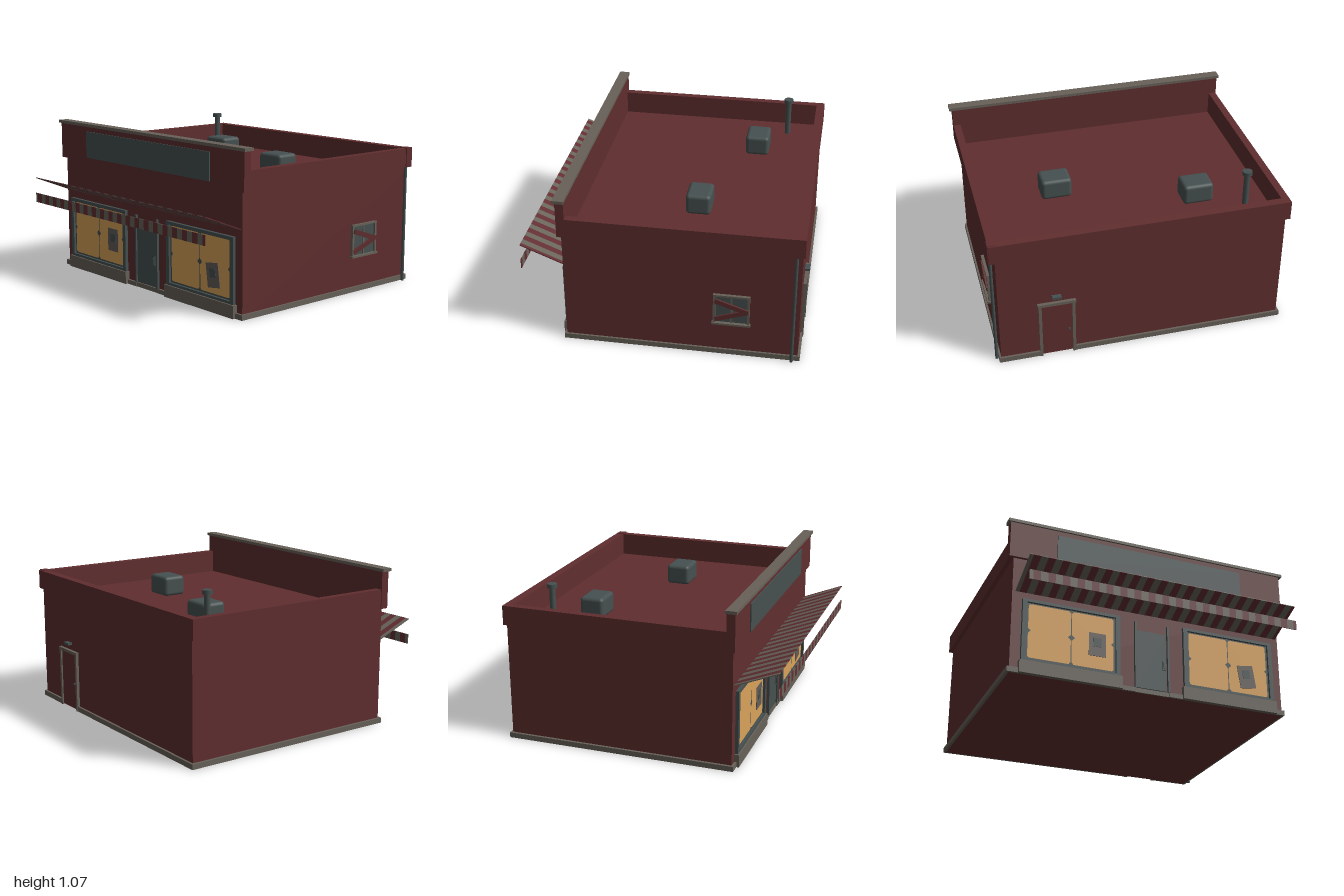
import * as THREE from 'three';
import { RoundedBoxGeometry } from 'three/addons/geometries/RoundedBoxGeometry.js';

const mat = (name, color) => {
  const m = new THREE.MeshStandardMaterial({ color });
  m.name = name;
  return m;
};

export function createModel() {
  const model = new THREE.Group();
  model.name = 'cornerShop';
  const brick = mat('brickRed', 0x602e2f);
  const stone = mat('stoneGrey', 0x676158);
  const slate = mat('slateGrey', 0x465050);
  const glow = mat('litGlass', 0xd9a35a);
  const paper = mat('posterGrey', 0x635d57);
  const canvasRed = mat('awningRed', 0x632e33);
  const canvasGrey = mat('awningGrey', 0x6a655b);
  canvasRed.side = canvasGrey.side = THREE.DoubleSide;

  const add = (name, geo, m, x = 0, y = 0, z = 0, parent = model) => {
    const mesh = new THREE.Mesh(geo, m);
    mesh.name = name;
    mesh.position.set(x, y, z);
    parent.add(mesh);
    return mesh;
  };
  // Box given by its limits on each axis
  const box = (name, m, x0, x1, y0, y1, z0, z1, parent = model) =>
    add(name, new THREE.BoxGeometry(x1 - x0, y1 - y0, z1 - z0), m,
      (x0 + x1) / 2, (y0 + y1) / 2, (z0 + z1) / 2, parent);
  const cyl = (name, m, r, y0, y1, x, z, sides = 12) =>
    add(name, new THREE.CylinderGeometry(r, r, y1 - y0, sides), m, x, (y0 + y1) / 2, z);

  // Walls, with the sunken roof deck as their top
  box('walls', brick, -0.952, 0.945, 0, 0.77, -0.89, 0.635);
  box('frontUpperWall', brick, -0.952, 0.945, 0.77, 0.8, 0.6, 0.635);
  box('backUpperWall', brick, -0.952, 0.945, 0.77, 0.8, -0.89, -0.845);
  box('leftUpperWall', brick, 0.93, 0.945, 0.77, 0.8, -0.845, 0.6);
  box('rightUpperWall', brick, -0.952, -0.93, 0.77, 0.8, -0.845, 0.6);

  // Parapet, taller at the front and capped with stone
  box('frontParapet', brick, -0.985, 0.98, 0.8, 1.05, 0.6, 0.655);
  box('parapetCap', stone, -1, 1, 1.05, 1.07, 0.595, 0.667);
  box('backParapet', brick, -0.98, 0.98, 0.8, 0.93, -0.903, -0.845);
  box('leftParapet', brick, 0.93, 0.98, 0.8, 0.93, -0.845, 0.6);
  box('rightParapet', brick, -0.98, -0.93, 0.8, 0.93, -0.845, 0.6);
  box('signBoard', slate, -0.665, 0.665, 0.83, 1.015, 0.655, 0.663);

  // Stone plinth, broken at both doors
  box('plinthLeft', stone, 0.945, 0.958, 0, 0.035, -0.905, 0.65);
  box('plinthRight', stone, -0.97, -0.952, 0, 0.035, -0.905, 0.65);
  box('plinthBack', stone, -0.952, 0.45, 0, 0.035, -0.905, -0.89);
  box('plinthBackEnd', stone, 0.69, 0.945, 0, 0.035, -0.905, -0.89);
  for (const s of [-1, 1]) {
    const [a, b] = s < 0 ? [-0.952, -0.895] : [0.895, 0.945];
    box('plinthCorner', stone, a, b, 0, 0.035, 0.635, 0.65);
    const [c, d] = s < 0 ? [-0.21, -0.115] : [0.115, 0.21];
    box('plinthPier', stone, c, d, 0, 0.03, 0.635, 0.65);
  }

  // Shop windows
  const roundedRect = (w, h, r, Type) => {
    const p = new Type(), x = w / 2, y = h / 2;
    p.moveTo(-x + r, -y);
    p.lineTo(x - r, -y).quadraticCurveTo(x, -y, x, -y + r);
    p.lineTo(x, y - r).quadraticCurveTo(x, y, x - r, y);
    p.lineTo(-x + r, y).quadraticCurveTo(-x, y, -x, y - r);
    p.lineTo(-x, -y + r).quadraticCurveTo(-x, -y, -x + r, -y);
    return p;
  };
  const shopWindow = (x, posterX, posterY, tilt) => {
    const g = new THREE.Group();
    g.name = 'shopWindow';
    g.position.x = x;
    model.add(g);
    box('stallRiser', stone, -0.342, 0.342, 0, 0.085, 0.635, 0.667, g);
    const outer = roundedRect(0.66, 0.43, 0.001, THREE.Shape);
    outer.holes.push(roundedRect(0.6, 0.39, 0.001, THREE.Path));
    add('windowFrame', new THREE.ExtrudeGeometry(outer, { depth: 0.022, bevelEnabled: false }),
      slate, 0, 0.298, 0.635, g);
    box('windowBacking', slate, -0.305, 0.305, 0.09, 0.505, 0.635, 0.641, g);
    for (const s of [-1, 1]) {
      add('windowPane', new THREE.ShapeGeometry(roundedRect(0.284, 0.37, 0.018, THREE.Shape)),
        glow, s * 0.145, 0.3, 0.643, g);
    }
    // Small clips at mid height and where the mullion meets the frame
    for (const [cx, cy, r] of [[0, 0.3, 0.023], [-0.285, 0.3, 0.015], [0.285, 0.3, 0.015],
      [0, 0.118, 0.015], [0, 0.482, 0.015]]) {
      add('paneClip', new THREE.CircleGeometry(r, 4), slate, cx, cy, 0.645, g);
    }
    const poster = new THREE.Group();
    poster.name = 'poster';
    poster.position.set(posterX - x, posterY, 0.648);
    poster.rotation.z = tilt;
    g.add(poster);
    box('posterSheet', paper, -0.058, 0.058, -0.08, 0.08, -0.002, 0.002, poster);
    box('posterPicture', slate, -0.027, 0.027, -0.015, 0.045, 0.002, 0.004, poster);
  };
  shopWindow(-0.555, -0.38, 0.28, 0);
  shopWindow(0.553, 0.685, 0.235, 0.14);

  // Front door with slim jambs
  box('frontDoor', slate, -0.107, 0.1, 0.035, 0.44, 0.635, 0.643);
  box('frontThreshold', stone, -0.115, 0.115, 0, 0.03, 0.635, 0.645);
  for (const s of [-1, 1]) {
    box('doorJamb', slate, s * 0.115 - 0.007, s * 0.115 + 0.007, 0.03, 0.5, 0.635, 0.652);
  }
  box('doorHandlePlate', slate, 0.073, 0.093, 0.18, 0.245, 0.643, 0.65);
  box('doorHandle', slate, 0.079, 0.087, 0.19, 0.235, 0.65, 0.657);

  // Striped awning rising outward, with a hanging valance
  const awning = new THREE.Group();
  awning.name = 'awning';
  model.add(awning);
  const edges = [-0.93];
  for (let x = -0.905; x < 0.925; x += 0.0477) edges.push(x);
  edges.push(0.93);
  const run = 0.285, rise = 0.115;
  for (let i = 0; i < edges.length - 1; i++) {
    const w = edges[i + 1] - edges[i], cx = (edges[i] + edges[i + 1]) / 2;
    const m = i % 2 ? canvasRed : canvasGrey;
    const panel = add('awningStripe', new THREE.BoxGeometry(w, 0.006, Math.hypot(run, rise)),
      m, cx, 0.623, 0.776, awning);
    panel.rotation.x = -Math.atan2(rise, run);
    add('valanceStripe', new THREE.BoxGeometry(w, 0.066, 0.005), m, cx, 0.539, 0.918, awning);
  }

  // Boarded side window
  box('sideGlass', slate, 0.945, 0.95, 0.25, 0.45, -0.565, -0.345);
  for (const z of [-0.345, -0.565]) {
    box('sideFrameUpright', stone, 0.945, 0.963, 0.245, 0.455, z - 0.008, z + 0.008);
  }
  box('sideMullion', stone, 0.945, 0.956, 0.25, 0.45, -0.461, -0.449);
  box('sideLintel', stone, 0.945, 0.965, 0.448, 0.461, -0.573, -0.337);
  box('sideSill', stone, 0.945, 0.972, 0.237, 0.25, -0.58, -0.33);
  for (const s of [-1, 1]) {
    const board = add('nailedBoard', new THREE.BoxGeometry(0.012, 0.032, 0.225), brick,
      0.962 + s * 0.003, 0.345 + s * 0.036, -0.455);
    board.rotation.x = -s * 0.33;
  }

  // Back door and its lamp
  box('backDoor', brick, 0.47, 0.67, 0.01, 0.4, -0.9, -0.89);
  for (const x of [0.46, 0.68]) {
    box('backDoorJamb', stone, x - 0.01, x + 0.01, 0, 0.42, -0.91, -0.89);
  }
  box('backDoorLintel', stone, 0.445, 0.695, 0.405, 0.425, -0.912, -0.89);
  box('backDoorKnob', slate, 0.485, 0.497, 0.185, 0.197, -0.91, -0.9);
  box('backLamp', slate, 0.54, 0.6, 0.462, 0.478, -0.922, -0.89);

  // Drainpipe near the back corner
  cyl('drainpipe', slate, 0.011, 0, 0.8, 0.969, -0.852, 10);
  box('drainHead', brick, 0.93, 0.986, 0.8, 0.935, -0.893, -0.84);

  // Roof units and vent pipe
  for (const [x, z] of [[-0.48, -0.46], [0.415, -0.17]]) {
    add('roofUnit', new RoundedBoxGeometry(0.205, 0.14, 0.165, 3, 0.025), slate, x, 0.835, z);
  }
  cyl('ventPipe', slate, 0.02, 0.77, 1.02, -0.765, -0.648);
  cyl('ventCap', slate, 0.033, 1.015, 1.042, -0.765, -0.648);

  return model;
}
